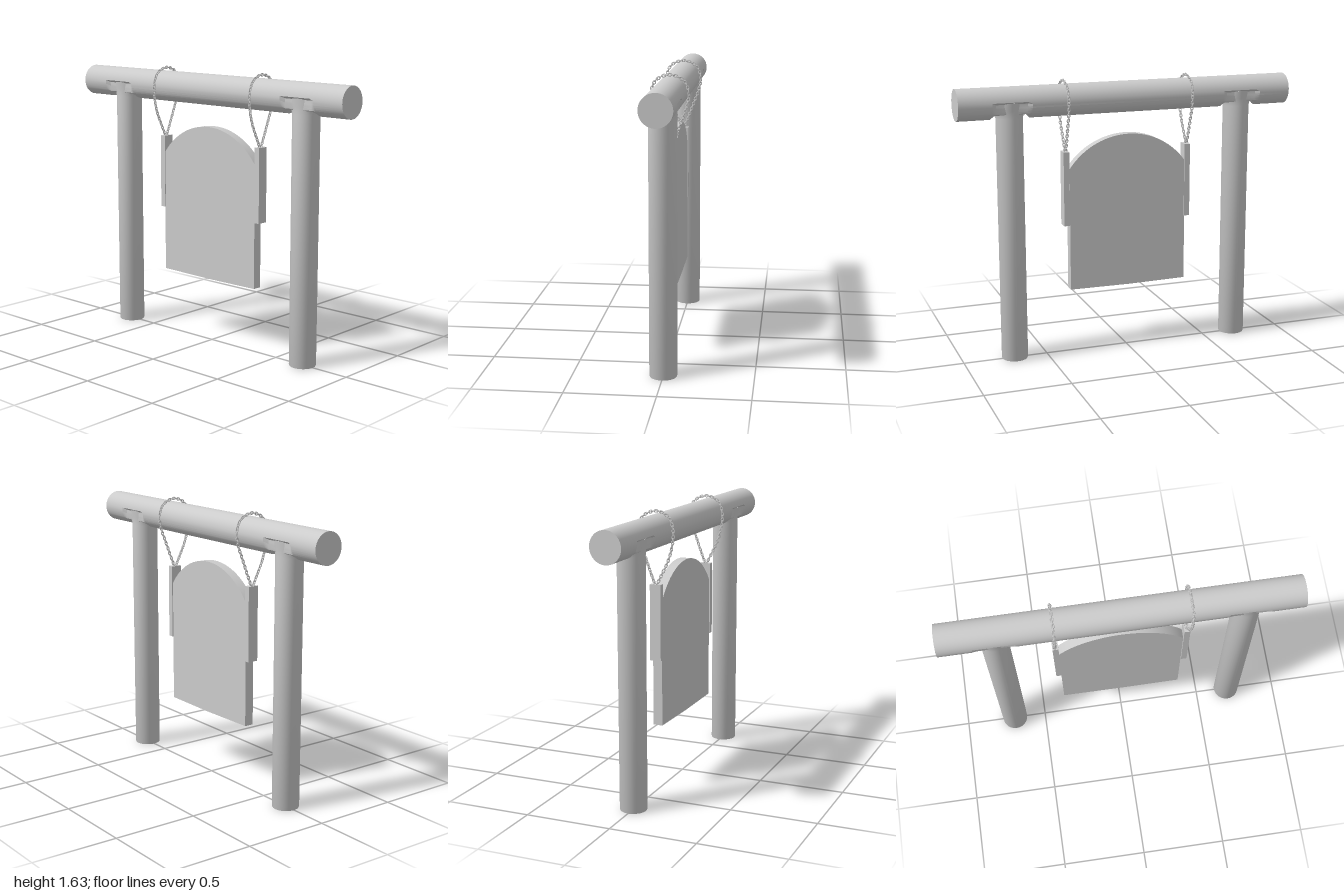
import * as THREE from 'three';
import { mergeGeometries, toCreasedNormals } from 'three/addons/utils/BufferGeometryUtils.js';

const material = new THREE.MeshStandardMaterial({ color: 0xcccccc });
const BEAM_Y = 1.51, BEAM_R = 0.09, POST_X = 0.695, POST_R = 0.077;

function addMesh(parent, name, geometry) {
  const mesh = new THREE.Mesh(geometry, material);
  mesh.name = name;
  parent.add(mesh);
  return mesh;
}

// Round beam whose lower half is cut back where each post meets it
function beamGeometry() {
  const xs = [-1, -0.81, -0.785, -0.605, -0.58, 0.58, 0.605, 0.785, 0.81, 1];
  const rows = xs.length - 1;
  const geo = new THREE.CylinderGeometry(BEAM_R, BEAM_R, 2, 48, rows);
  geo.rotateZ(-Math.PI / 2);
  const p = geo.attributes.position;
  for (let i = 0; i < p.count; i++) {
    const x = xs[Math.round((p.getX(i) / 2 + 0.5) * rows)];
    p.setX(i, x);
    const notched = Math.abs(x) > 0.6 && Math.abs(x) < 0.8;
    if (notched && p.getY(i) < 0.003) {
      p.setZ(i, THREE.MathUtils.clamp(p.getZ(i), -0.072, 0.072));
      p.setY(i, Math.max(p.getY(i), -0.06));
    }
  }
  return toCreasedNormals(geo, 0.6);
}

// Round post that flares along the beam at its top
function postGeometry() {
  const ys = [0, 0.006, 1.425, 1.45, 1.47, 1.515];
  const scaleX = [0.97, 1, 1, 1.09, 1.2, 1.15];
  const scaleZ = [0.97, 1, 1, 1, 1.02, 1.08];
  const rows = ys.length - 1;
  const geo = new THREE.CylinderGeometry(POST_R, POST_R, 1, 40, rows);
  const p = geo.attributes.position;
  for (let i = 0; i < p.count; i++) {
    const row = Math.round((p.getY(i) + 0.5) * rows);
    p.setXYZ(i, p.getX(i) * scaleX[row], ys[row], p.getZ(i) * scaleZ[row]);
  }
  return toCreasedNormals(geo, 0.6);
}

// Hanging panel with an arched top
function panelGeometry() {
  const half = 0.357, shoulder = 1.11, centreY = 0.857, depth = 0.055;
  const radius = Math.hypot(half, shoulder - centreY);
  const start = Math.atan2(shoulder - centreY, half);
  const shape = new THREE.Shape();
  shape.moveTo(-half, 0.388);
  shape.lineTo(0, 0.383);
  shape.lineTo(half, 0.386);
  shape.lineTo(half, shoulder);
  shape.absarc(0, centreY, radius, start, Math.PI - start, false);
  shape.closePath();
  const geo = new THREE.ExtrudeGeometry(shape, { depth, bevelEnabled: false, curveSegments: 24 });
  geo.translate(-0.003, 0, -depth / 2);
  return toCreasedNormals(geo, 0.5);
}

// Loop of interlocked oval links going over the beam
function chainGeometry() {
  const path = new THREE.CatmullRomCurve3([
    [0.008, 1.215], [0.038, 1.275], [0.072, 1.345], [0.096, 1.43], [0.102, 1.52], [0.075, 1.588],
    [0, 1.619], [-0.078, 1.588], [-0.106, 1.52], [-0.094, 1.44], [-0.068, 1.37], [-0.036, 1.285], [-0.008, 1.215],
  ].map(([z, y]) => new THREE.Vector3((y - 1.415) * 0.02, y, z)));
  const count = Math.round(path.getLength() / 0.0165);
  const link = new THREE.TorusGeometry(0.0075, 0.003, 5, 10);
  link.scale(1, 1.5, 1);
  const up = new THREE.Vector3(0, 1, 0);
  const links = [];
  for (let i = 0; i <= count; i++) {
    const turn = new THREE.Quaternion().setFromUnitVectors(up, path.getTangentAt(i / count));
    const twist = new THREE.Quaternion().setFromAxisAngle(up, (i % 2) * Math.PI / 2);
    const pos = path.getPointAt(i / count);
    links.push(link.clone().applyQuaternion(turn.multiply(twist)).translate(pos.x, pos.y, pos.z));
  }
  return mergeGeometries(links);
}

export function createModel() {
  const model = new THREE.Group();
  model.name = 'hangingSign';

  addMesh(model, 'beam', beamGeometry()).position.y = BEAM_Y;
  addMesh(model, 'panel', panelGeometry());

  const post = postGeometry();
  const chain = chainGeometry();
  const bracket = new THREE.BoxGeometry(0.034, 0.435, 0.065);
  for (const [side, s] of [['left', 1], ['right', -1]]) {
    addMesh(model, side + 'Post', post).position.x = s * POST_X;
    addMesh(model, side + 'Bracket', bracket).position.set(s * 0.373, 0.993, 0);
    addMesh(model, side + 'Chain', chain).position.x = s * 0.374;
  }
  return model;
}
